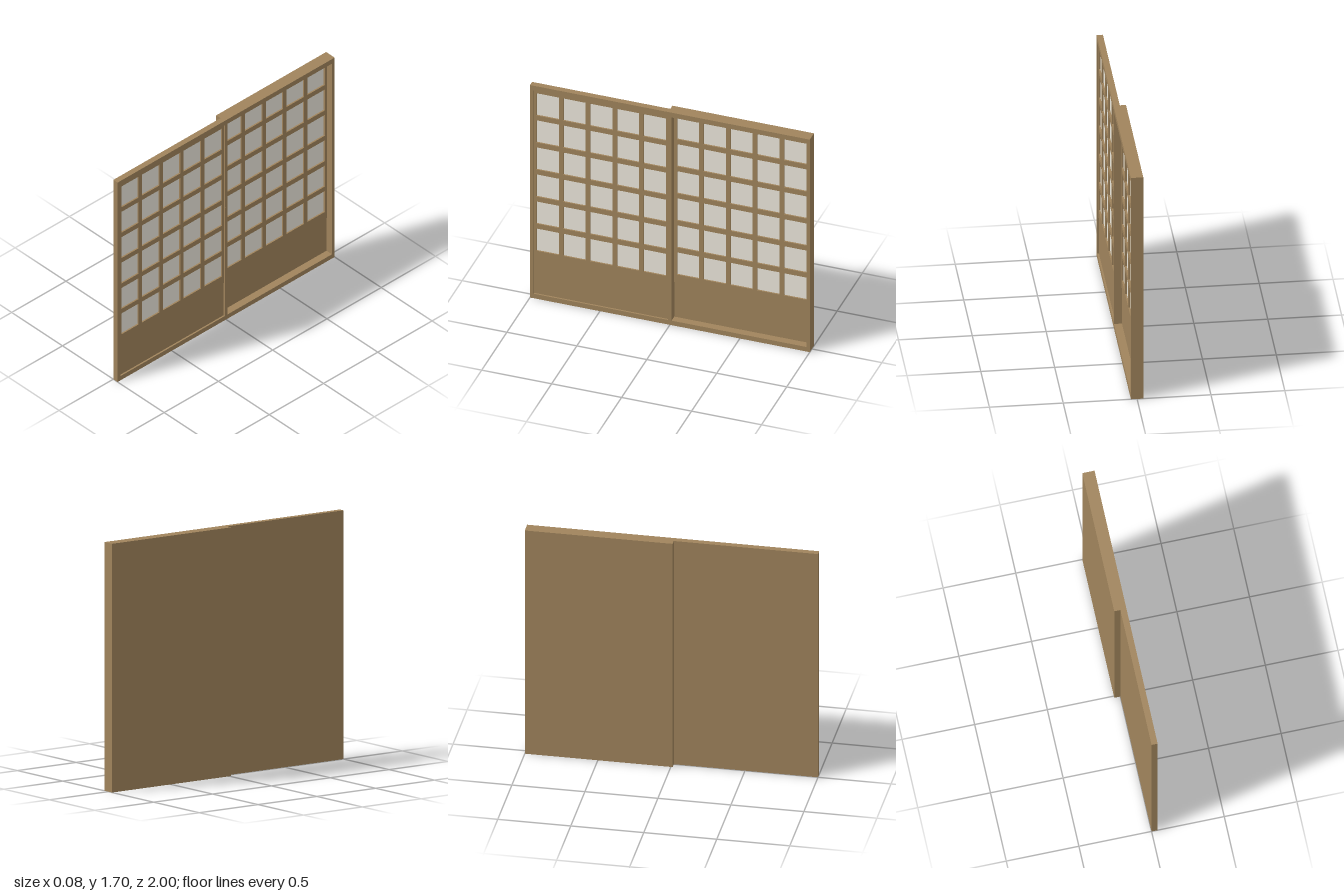
import * as THREE from 'three';

const wood = new THREE.MeshStandardMaterial({ color: 0xa0845c });
const paperMat = new THREE.MeshStandardMaterial({ color: 0xece8dc });

const H = 1.7, STILE = 0.025;

// Box given by its limits on each axis
function block(name, [x0, x1], [y0, y1], [z0, z1], mat = wood) {
  const mesh = new THREE.Mesh(new THREE.BoxGeometry(x1 - x0, y1 - y0, z1 - z0), mat);
  mesh.position.set((x0 + x1) / 2, (y0 + y1) / 2, (z0 + z1) / 2);
  mesh.name = name;
  return mesh;
}

function rectangle(Type, u0, u1, v0, v1) {
  const r = new Type();
  r.moveTo(u0, v0).lineTo(u1, v0).lineTo(u1, v1).lineTo(u0, v1).closePath();
  return r;
}

// Sheet with square openings, lying in the z-y plane and thickened towards +x
function sheet(name, outer, holes, x0, x1) {
  const shape = rectangle(THREE.Shape, ...outer);
  shape.holes = holes.map(h => rectangle(THREE.Path, ...h));
  const geo = new THREE.ExtrudeGeometry(shape, { depth: x1 - x0, bevelEnabled: false });
  const mesh = new THREE.Mesh(geo.rotateY(Math.PI / 2), wood);
  mesh.position.x = x0;
  mesh.name = name;
  return mesh;
}

// One sliding panel: u runs along -z, back is its rear face, front the frame's face
function panel(name, u0, u1, back, front) {
  const g = new THREE.Group();
  g.name = name;
  const a = u0 + STILE, b = u1 - STILE;
  const bottom = 0.036, top = 1.662;
  const face = back + 0.033;

  g.add(sheet('frame', [u0, u1, 0, H], [[a, b, bottom, top]], back, front));

  // Lattice of 5 by 6 openings
  const cells = [];
  const cw = 0.16, ch = 0.178, pitchU = 0.1915, pitchV = 0.2165;
  const firstU = (a + b) / 2 - 2 * pitchU - cw / 2;
  for (let i = 0; i < 5; i++) {
    for (let j = 0; j < 6; j++) {
      const u = firstU + i * pitchU, v = 0.378 + j * pitchV;
      cells.push([u, u + cw, v, v + ch]);
    }
  }
  g.add(sheet('lattice', [a, b, 0.315, top], cells, back + 0.018, face));

  // Paper behind the lattice, solid board below, flat backing
  g.add(block('paper', [back + 0.012, back + 0.022], [0.34, top - 0.005], [-b + 0.005, -a - 0.005], paperMat));
  g.add(block('lowerBoard', [back + 0.012, face - 0.003], [bottom, 0.315], [-b, -a]));
  g.add(block('backing', [back, back + 0.012], [bottom, top], [-b, -a]));
  return g;
}

export function createModel() {
  const model = new THREE.Group();
  model.name = 'slidingScreen';

  model.add(panel('frontPanel', -1, 0.0125, 0, 0.042));
  model.add(panel('rearPanel', -0.0125, 1, -0.042, 0));

  // Deep surround in front of the rear panel
  const x = [0, 0.042];
  const surround = new THREE.Group();
  surround.name = 'rearSurround';
  surround.add(
    block('topRail', x, [1.662, H], [-1, -0.0125]),
    block('bottomRail', x, [0, 0.036], [-1, -0.0125]),
    block('endStile', x, [0.036, 1.662], [-1, -1 + STILE])
  );
  model.add(surround);

  // Slim finger pull on the meeting stile
  model.add(block('fingerPull', [0.04, 0.0425], [0.86, 0.955], [0.002, 0.007]));
  return model;
}
